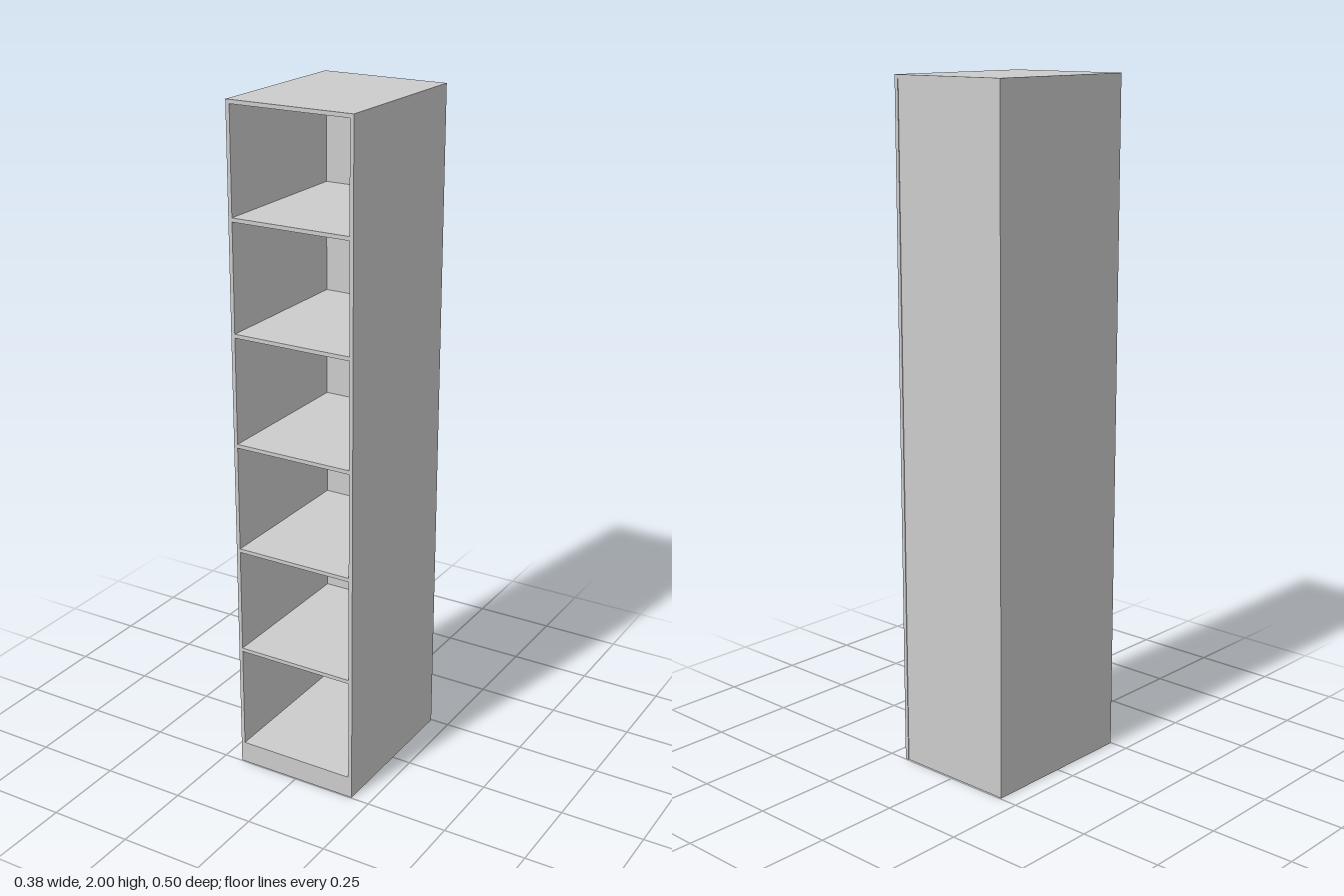
import * as THREE from 'three';

const W = 0.385, H = 2, D = 0.495; // overall size
const T = 0.0115;                  // board thickness
const FLOOR = 0.066;               // top of the lowest shelf
const PITCH = 0.3242;              // shelf spacing
const SHELVES = 6;
const RECESS = 0.002;              // back panel set in slightly from the rear edge

export function createModel() {
  const group = new THREE.Group();
  const material = new THREE.MeshStandardMaterial({ color: 0xcccccc });

  const board = (name, w, h, d, x, y, z) => {
    const mesh = new THREE.Mesh(new THREE.BoxGeometry(w, h, d), material);
    mesh.name = name;
    mesh.position.set(x, y, z);
    group.add(mesh);
  };

  const innerW = W - 2 * T;
  const backFace = -D / 2 + RECESS + T; // inner face of the back panel
  const innerD = D / 2 - backFace;

  // Full-height sides
  for (const [name, s] of [['leftSide', 1], ['rightSide', -1]]) {
    board(name, T, H, D, s * (W - T) / 2, H / 2, 0);
  }

  // Top board between the sides
  board('top', innerW, T, D, 0, H - T / 2, 0);

  // Back panel, down to the ground
  board('backPanel', innerW, H - T, T, 0, (H - T) / 2, backFace - T / 2);

  // Shelves, flush with the front edges
  for (let i = 0; i < SHELVES; i++) {
    board(`shelf${i + 1}`, innerW, T, innerD, 0, FLOOR + i * PITCH - T / 2, backFace + innerD / 2);
  }

  // Plinth board closing the hollow base at the front
  board('plinth', innerW, FLOOR - T, T, 0, (FLOOR - T) / 2, (D - T) / 2);

  return group;
}
